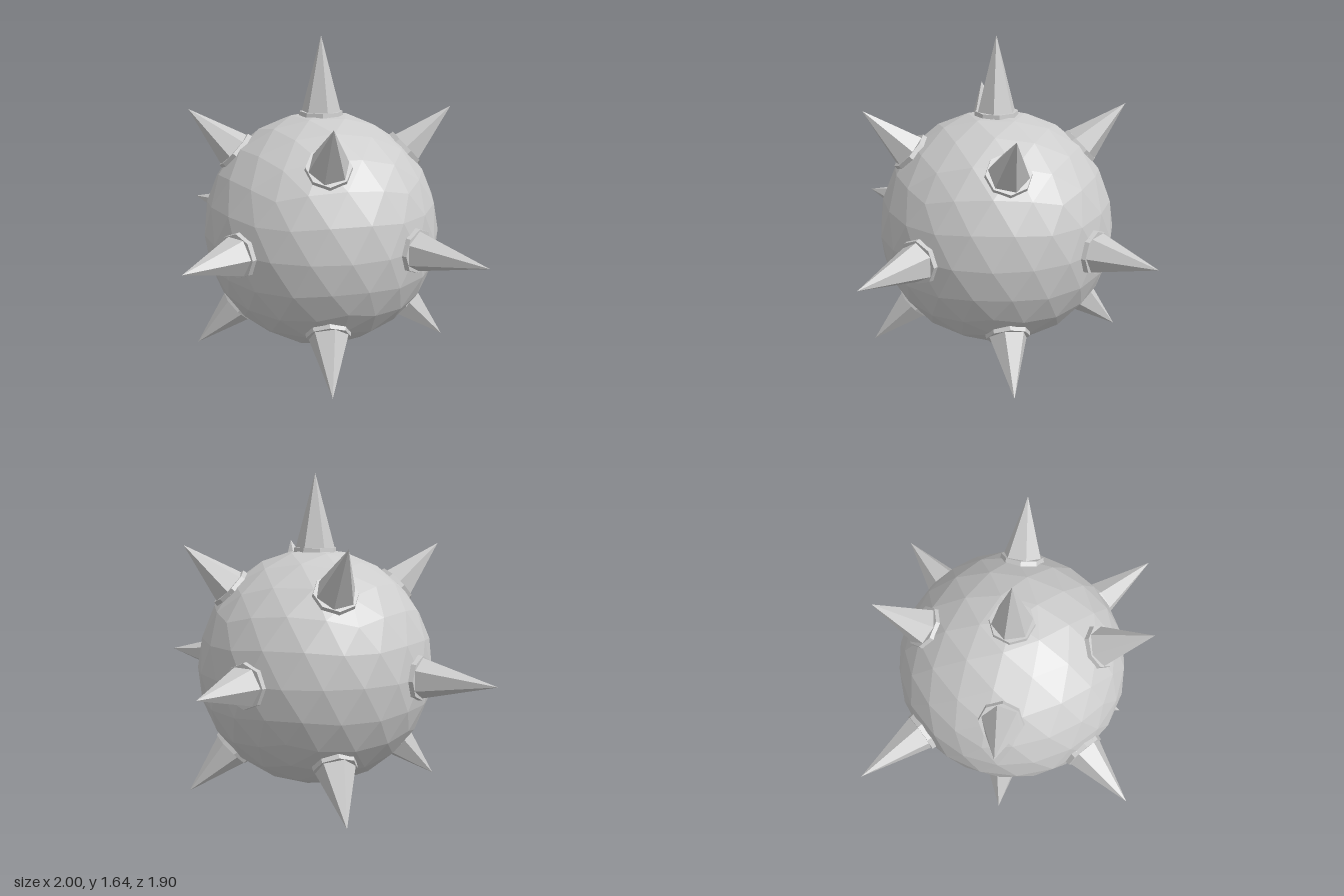
import * as THREE from 'three';

const CENTER_Y = 0.645;
const BODY_RADIUS = 0.615;

export function createModel() {
  const model = new THREE.Group();
  model.name = 'spikedBall';
  const material = new THREE.MeshStandardMaterial({ color: 0xcccccc, flatShading: true });

  // Faceted body, turned so that a corner of the icosahedron points straight down
  const bodyGeometry = new THREE.IcosahedronGeometry(BODY_RADIUS, 3);
  bodyGeometry.rotateZ(-Math.atan(2 / (1 + Math.sqrt(5))));
  const body = new THREE.Mesh(bodyGeometry, material);
  body.name = 'body';
  body.position.y = CENTER_Y;
  model.add(body);

  // One spike: six-sided cone on an eight-sided collar, pointing away from the centre
  function addSpike(name, tip, twist) {
    const reach = tip.length();
    const spike = new THREE.Group();
    spike.name = name;

    const collar = new THREE.Mesh(new THREE.CylinderGeometry(0.11, 0.118, 0.06, 8), material);
    collar.name = 'collar';
    collar.position.y = 0.59;

    const base = 0.6;
    const cone = new THREE.Mesh(new THREE.ConeGeometry(0.106, reach - base, 6), material);
    cone.name = 'cone';
    cone.position.y = (reach + base) / 2;
    cone.rotation.y = twist;

    spike.add(collar, cone);
    spike.position.y = CENTER_Y;
    spike.quaternion.setFromUnitVectors(new THREE.Vector3(0, 1, 0), tip.clone().normalize());
    model.add(spike);
  }

  // Top, side, front and back spikes
  addSpike('topSpike', new THREE.Vector3(0, 1, 0), 0);
  for (const s of [1, -1]) {
    addSpike(s > 0 ? 'leftSpike' : 'rightSpike', new THREE.Vector3(s, 0, 0), Math.PI / 2);
    addSpike(s > 0 ? 'frontSpike' : 'backSpike', new THREE.Vector3(0, 0, s * 0.95), Math.PI / 2);
  }

  // Eight diagonal spikes
  for (const x of [1, -1]) for (const y of [1, -1]) for (const z of [1, -1]) {
    const name = (y > 0 ? 'upper' : 'lower') + (z > 0 ? 'Front' : 'Back') + (x > 0 ? 'Left' : 'Right') + 'Spike';
    addSpike(name, new THREE.Vector3(x * 0.475, y * 0.638, z * 0.475), Math.PI / 2);
  }

  return model;
}
